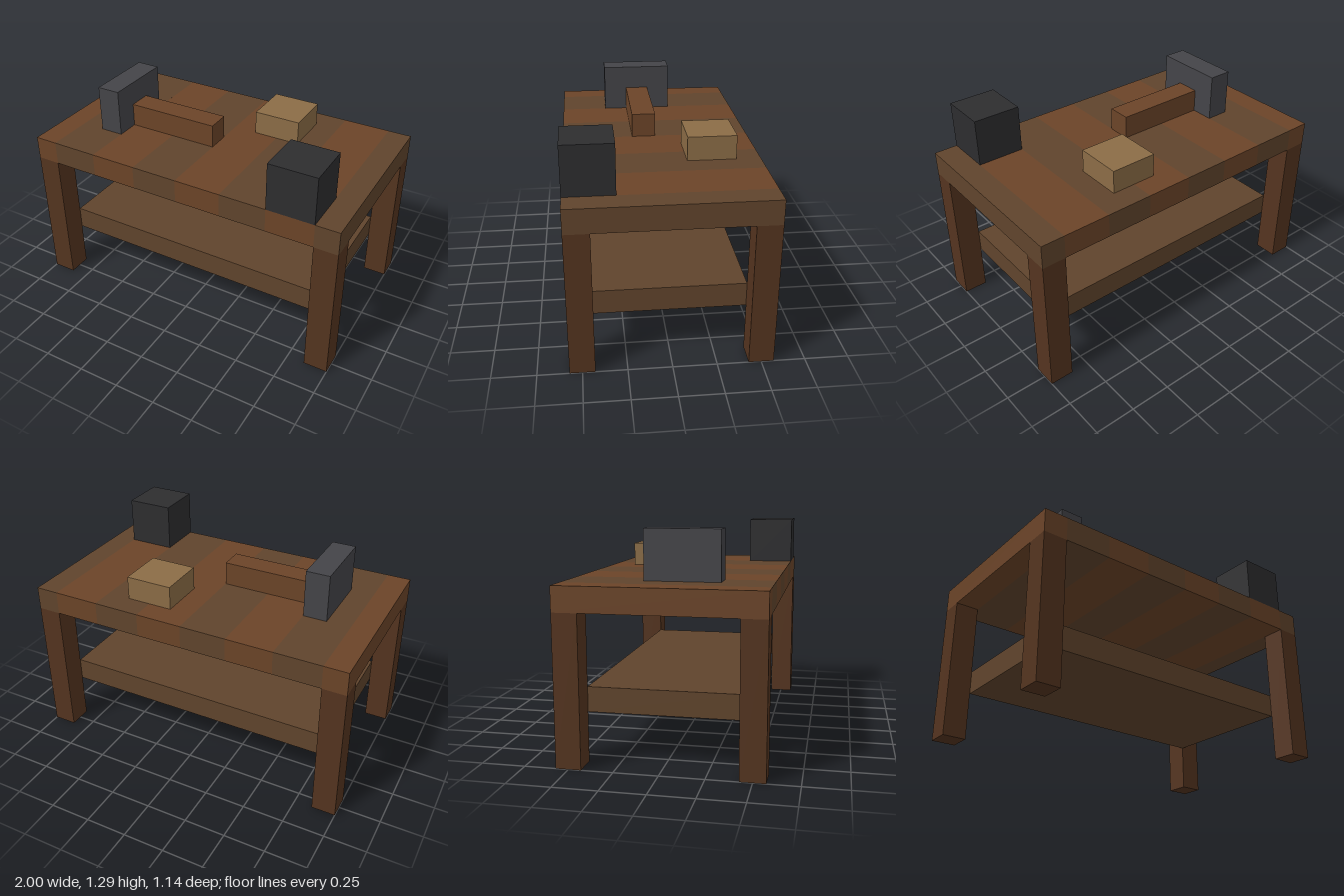
import * as THREE from 'three';

const U = 1 / 7; // the table is laid out on a grid of 14 x 9 x 8 cells

const mats = {
  plankLight: 0x6b4428, plankDark: 0x60442c, leg: 0x54341f,
  tan: 0x8b6c46, steel: 0x444448, iron: 0x2d2d2f,
};
for (const k in mats) mats[k] = new THREE.MeshStandardMaterial({ color: mats[k], flatShading: true });

// Box between two corners given in grid cells
function block(name, mat, [x0, y0, z0], [x1, y1, z1]) {
  const geo = new THREE.BoxGeometry((x1 - x0) * U, (y1 - y0) * U, (z1 - z0) * U);
  const mesh = new THREE.Mesh(geo, mats[mat]);
  mesh.name = name;
  mesh.position.set((x0 + x1) / 2 * U, (y0 + y1) / 2 * U, (z0 + z1) / 2 * U);
  return mesh;
}

export function createModel() {
  const model = new THREE.Group();
  model.name = 'workbench';

  // Tabletop: alternating planks, half planks at both ends
  const top = new THREE.Group();
  top.name = 'tabletop';
  const cuts = [-7, -6, -4, -2, 0, 2, 4, 6, 7];
  for (let i = 0; i < cuts.length - 1; i++) {
    top.add(block('plank', i % 2 ? 'plankDark' : 'plankLight', [cuts[i], 6, -4], [cuts[i + 1], 7, 4]));
  }
  model.add(top);

  // Four corner legs
  for (const x of [-7, 6]) for (const z of [-4, 3]) {
    const name = (z > 0 ? 'front' : 'back') + (x > 0 ? 'Left' : 'Right') + 'Leg';
    model.add(block(name, 'leg', [x, 0, z], [x + 1, 6, z + 1]));
  }

  // Lower shelf between the legs
  model.add(block('shelf', 'plankDark', [-6, 2, -3], [6, 3, 3]));

  // Hammer lying on the top
  const hammer = new THREE.Group();
  hammer.name = 'hammer';
  hammer.add(block('hammerHead', 'steel', [-5, 7, -1], [-4, 9, 2]));
  hammer.add(block('hammerHandle', 'plankLight', [-4, 7, 0], [0, 8, 1]));
  model.add(hammer);

  // Wooden block and iron vise block
  model.add(block('woodBlock', 'tan', [1, 7, -3], [3, 8, -1]));
  model.add(block('vise', 'iron', [4, 7, 2], [6, 9, 4]));

  return model;
}
